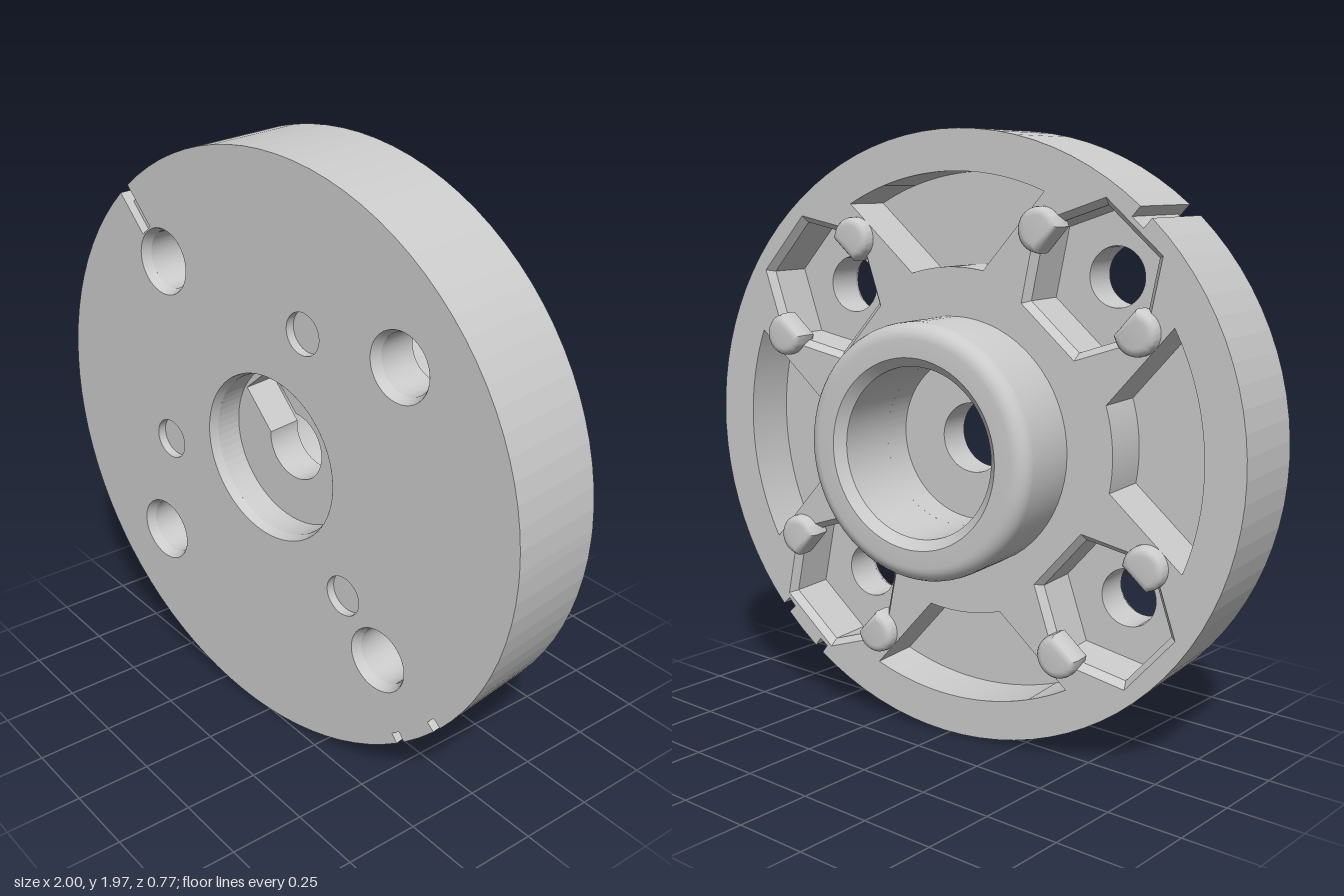
import * as THREE from 'three';
import { toCreasedNormals } from 'three/addons/utils/BufferGeometryUtils.js';

const material = new THREE.MeshStandardMaterial({ color: 0xcccccc, side: THREE.DoubleSide });
const rad = THREE.MathUtils.degToRad;
const R = 0.985;            // disc radius
const BOLT_R = 0.715;       // bolt circle
const BORE = 0.27;
const bossAngles = [41.5, 131.5, 221.5, 311.5].map(rad);
const dimpleAngles = [71.5, 191.5, 311.5].map(rad);
const polar = (r, a) => new THREE.Vector2(r * Math.cos(a), r * Math.sin(a));

function add(parent, name, geometry) {
  const mesh = new THREE.Mesh(geometry, material);
  mesh.name = name;
  parent.add(mesh);
  return mesh;
}

// Disc outline with square notches cut into the rim
function discOutline(slitDepth) {
  const notches = [
    { a: rad(131.5), half: 0.025, depth: slitDepth },
    { a: rad(305.9), half: 0.018, depth: 0.035 },
    { a: rad(317.1), half: 0.018, depth: 0.035 },
  ];
  const points = [];
  let from = 0;
  const arc = (a, b) => {
    const n = Math.max(2, Math.round((b - a) / rad(4)));
    for (let i = 0; i <= n; i++) points.push(polar(R, a + ((b - a) * i) / n));
  };
  for (const { a, half, depth } of notches) {
    const d = Math.asin(half / R);
    arc(from, a - d);
    for (const s of [-1, 1]) {
      points.push(new THREE.Vector2(R - depth, s * half).rotateAround(new THREE.Vector2(), a));
    }
    from = a + d;
  }
  arc(from, Math.PI * 2 - rad(2));
  return new THREE.Shape(points);
}

function circle(c, r) {
  return new THREE.Path().absarc(c.x, c.y, r, 0, Math.PI * 2, true);
}

// Hexagon with corners pointing along the rim
function hexagon(a, r) {
  const c = polar(BOLT_R, a);
  return new THREE.Path(
    Array.from({ length: 6 }, (_, i) => polar(r, a + Math.PI / 2 + (i * Math.PI) / 3).add(c)));
}

// Weight-saving pocket between two parallel-sided bosses
function pocket(a) {
  const inner = 0.56, outer = 0.855, side = 0.29;
  const ai = Math.PI / 4 - Math.asin(side / inner);
  const ao = Math.PI / 4 - Math.asin(side / outer);
  const path = new THREE.Path();
  path.absarc(0, 0, outer, a - ao, a + ao, false);
  path.absarc(0, 0, inner, a + ai, a - ai, true);
  path.closePath();
  return path;
}

// Slab between two depths measured from the front face
function slab(shape, holes, front, back) {
  shape.holes.push(...holes);
  const g = new THREE.ExtrudeGeometry(shape, { depth: back - front, bevelEnabled: false, curveSegments: 36 });
  return g.translate(0, 0, -back);
}

// Sloped ring joining two radii at two depths
function chamfer(rFront, rBack, front, back, sides) {
  const g = new THREE.CylinderGeometry(rBack, rFront, back - front, sides, 1, true);
  g.rotateX(-Math.PI / 2).translate(0, 0, -(front + back) / 2);
  return sides === 6 ? toCreasedNormals(g, 0.5) : g;
}

export function createModel() {
  const model = new THREE.Group();
  model.name = 'flangedHub';
  const wheel = new THREE.Group();
  wheel.name = 'tiltedFlange';
  wheel.position.set(0.02, 0.985, 0.25);
  wheel.rotation.y = 0.135;
  model.add(wheel);

  const origin = new THREE.Vector2();
  const boltHoles = (r) => bossAngles.map((a) => circle(polar(BOLT_R, a), r));
  const hexes = (r) => bossAngles.map((a) => hexagon(a, r));
  const pockets = () => bossAngles.map((a) => pocket(a + Math.PI / 4));

  // Flange in layers, front to back
  add(wheel, 'frontFace', slab(discOutline(0.155),
    [circle(origin, 0.28), ...boltHoles(0.11), ...dimpleAngles.map((a) => circle(polar(0.49, a), 0.068))], 0, 0.03));
  add(wheel, 'flangePlate', slab(discOutline(0.04),
    [circle(origin, BORE), ...boltHoles(0.095)], 0.03, 0.164));
  add(wheel, 'ribbedBack', slab(discOutline(0.04),
    [circle(origin, BORE), ...hexes(0.225), ...pockets()], 0.164, 0.319));
  add(wheel, 'backFace', slab(discOutline(0.04),
    [circle(origin, BORE), ...hexes(0.248), ...pockets()], 0.319, 0.344));
  add(wheel, 'recessChamfer', chamfer(0.28, BORE, 0, 0.03, 48));

  // Web across the bore, with a keyhole opening
  const key = bossAngles[1], half = 0.078, holeR = 0.115;
  const phi = Math.asin(half / holeR);
  const keyhole = new THREE.Path();
  keyhole.absarc(0, 0, holeR, key + phi, key - phi + Math.PI * 2, false);
  for (const s of [-1, 1]) {
    const p = new THREE.Vector2(0.25, s * half).rotateAround(origin, key);
    keyhole.lineTo(p.x, p.y);
  }
  keyhole.closePath();
  const disc = new THREE.Shape().absarc(0, 0, BORE + 0.003, 0, Math.PI * 2, false);
  add(wheel, 'keyedWeb', slab(disc, [keyhole], 0.12, 0.24));

  // Rear hub with rounded outer edge and chamfered bore
  const profile = [new THREE.Vector2(0.405, 0.33)];
  for (let i = 0; i <= 6; i++) {
    profile.push(polar(0.05, (i * Math.PI) / 12).add(new THREE.Vector2(0.355, 0.545)));
  }
  profile.push(new THREE.Vector2(0.3, 0.595), new THREE.Vector2(BORE, 0.565), new THREE.Vector2(BORE, 0.24));
  const hub = new THREE.LatheGeometry(profile, 64).rotateX(-Math.PI / 2);
  add(wheel, 'rearHub', toCreasedNormals(hub, 0.5));

  // Rounded retaining pin, open towards the hexagonal seat
  const sector = new THREE.Shape();
  sector.moveTo(0, 0);
  sector.absarc(0, 0, 0.045, rad(-30), rad(210), false);
  sector.closePath();
  const pin = toCreasedNormals(new THREE.ExtrudeGeometry(sector, {
    depth: 0.05, bevelSize: 0.025, bevelThickness: 0.025, bevelSegments: 4, curveSegments: 20,
  }).translate(0, 0, -0.36), 0.6);

  // Bolt seats: chamfers and a pair of pins each
  for (const a of bossAngles) {
    const seat = new THREE.Group();
    seat.name = 'boltSeat';
    const c = polar(BOLT_R, a);
    seat.position.set(c.x, c.y, 0);
    seat.rotation.z = a;
    wheel.add(seat);
    add(seat, 'boltHoleChamfer', chamfer(0.11, 0.095, 0, 0.03, 36));
    add(seat, 'hexSeatChamfer', chamfer(0.225, 0.248, 0.319, 0.344, 6));
    for (const s of [-1, 1]) {
      const mesh = add(seat, 'retainingPin', pin);
      mesh.position.y = s * 0.22;
      mesh.rotation.z = s > 0 ? 0 : Math.PI;
    }
  }
  return model;
}
